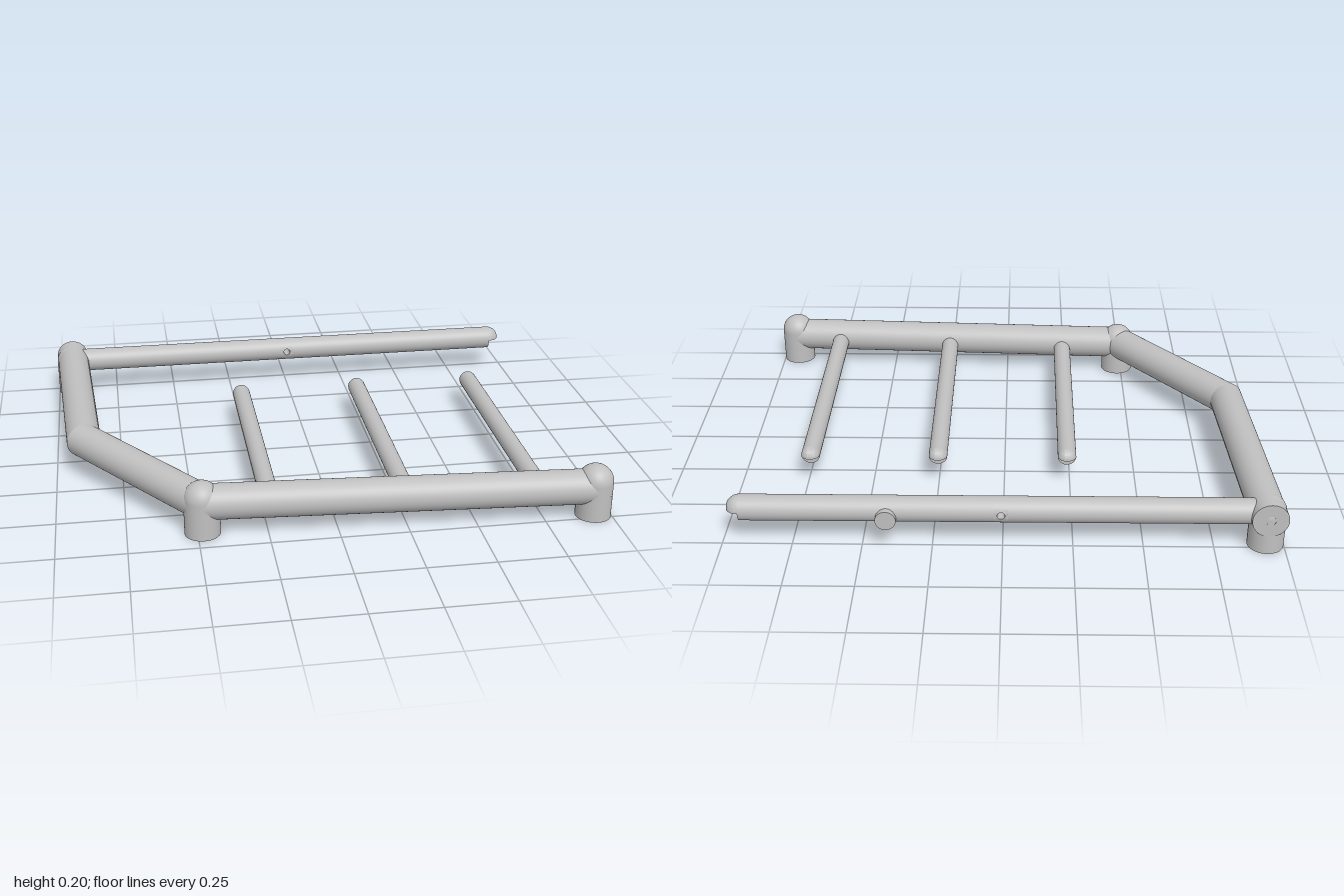
import * as THREE from 'three';
import { toCreasedNormals } from 'three/addons/utils/BufferGeometryUtils.js';

const metal = new THREE.MeshStandardMaterial({ color: 0xc0c0c0, side: THREE.DoubleSide });
metal.name = 'light grey metal';
const V = (x, y, z) => new THREE.Vector3(x, y, z);
const SEG = 48;

function part(parent, name, geometry, x = 0, y = 0, z = 0) {
  const m = new THREE.Mesh(geometry, metal);
  m.name = name;
  m.position.set(x, y, z);
  parent.add(m);
  return m;
}

// Pipe from a to b whose ends are trimmed to planes with normals na and nb
function pipeGeometry(a, b, r, na, nb) {
  const g = new THREE.CylinderGeometry(r, r, 1, SEG, 1, true);
  const d = b.clone().sub(a).normalize();
  const q = new THREE.Quaternion().setFromUnitVectors(V(0, 1, 0), d);
  const p = g.attributes.position, n = g.attributes.normal;
  for (let i = 0; i < p.count; i++) {
    const top = p.getY(i) > 0, plane = top ? nb : na;
    const v = V(p.getX(i), 0, p.getZ(i)).applyQuaternion(q);
    const t = -v.dot(plane) / d.dot(plane);
    v.add(top ? b : a).addScaledVector(d, t);
    p.setXYZ(i, v.x, v.y, v.z);
    const w = V(n.getX(i), n.getY(i), n.getZ(i)).applyQuaternion(q);
    n.setXYZ(i, w.x, w.y, w.z);
  }
  return g;
}

// Square piece of cylinder wall, centred on angle and hy, with a round bore
function borePatch(r, w, hy, hr, angle, floor, closed) {
  const N = 32, rows = [], pos = [], idx = [];
  if (closed) rows.push([0, 0, floor]);
  rows.push([hr, 0, floor]);
  for (const t of [0, 0.33, 0.67, 1]) rows.push([hr, t, null]);
  for (const [rad, t, depth] of rows) {
    for (let i = 0; i <= N; i++) {
      const a = i / N * Math.PI * 2, c = Math.cos(a), s = Math.sin(a);
      const k = THREE.MathUtils.lerp(rad, w / Math.max(Math.abs(c), Math.abs(s)), t);
      const th = k * c / r, side = r * Math.sin(th);
      const out = depth === null ? r * Math.cos(th) : depth;
      pos.push(out * Math.sin(angle) + side * Math.cos(angle), hy + k * s,
        out * Math.cos(angle) - side * Math.sin(angle));
    }
  }
  for (let j = 0; j < rows.length - 1; j++) {
    for (let i = 0; i < N; i++) {
      const a = j * (N + 1) + i, b = a + N + 1;
      idx.push(a, b, a + 1, b, b + 1, a + 1);
    }
  }
  const g = new THREE.BufferGeometry();
  g.setAttribute('position', new THREE.Float32BufferAttribute(pos, 3));
  g.setIndex(idx);
  return toCreasedNormals(g, 0.6);
}

// Cylinder wall along y, with optional bores at the given angles
function wall(parent, name, r, y0, y1, bore) {
  const tube = (a, b, start = 0, len = Math.PI * 2) => part(parent, name,
    new THREE.CylinderGeometry(r, r, b - a, SEG, 1, true, start, len), 0, (a + b) / 2, 0);
  if (!bore) {
    tube(y0, y1);
    return;
  }
  const { y, hr, w, angles, floor, closed } = bore, half = w / r;
  tube(y0, y - w);
  tube(y + w, y1);
  angles.forEach((a, i) => {
    const next = i + 1 < angles.length ? angles[i + 1] : angles[0] + Math.PI * 2;
    tube(y - w, y + w, a + half, next - a - 2 * half);
    part(parent, 'bore', borePatch(r, w, y, hr, a, floor, closed));
  });
}

// Upright foot with a domed top
function post(parent, x, z, r, h, bore) {
  const g = new THREE.Group();
  g.name = 'post';
  g.position.set(x, 0, z);
  wall(g, 'postWall', r, 0, h, bore);
  part(g, 'postDome', new THREE.SphereGeometry(r, SEG, 16, 0, Math.PI * 2, 0, Math.PI / 2), 0, h, 0);
  part(g, 'postBase', new THREE.CircleGeometry(r, SEG).rotateX(Math.PI / 2));
  parent.add(g);
}

// Rod whose upper half carries on as a rounded tip; hr is the end bore, 0 for none
function rod(parent, name, start, dir, length, r, hr, bore) {
  const g = new THREE.Group(), up = V(0, 1, 0);
  g.name = name;
  g.position.copy(start);
  g.quaternion.setFromRotationMatrix(
    new THREE.Matrix4().makeBasis(dir.clone().cross(up), dir, up));
  wall(g, name + 'Wall', r, 0, length, bore);
  part(g, 'endFace', new THREE.RingGeometry(hr, r, SEG).rotateX(-Math.PI / 2), 0, length, 0);
  if (hr > 0) {
    part(g, 'endBore', new THREE.CylinderGeometry(hr, hr, 0.06, 24, 1, true), 0, length - 0.03, 0);
    part(g, 'boreFloor', new THREE.CircleGeometry(hr, 24).rotateX(-Math.PI / 2), 0, length - 0.06, 0);
  }
  // rounded tip: half a turn of an arc with the bore left out
  const pts = [new THREE.Vector2(r, 0)], a1 = Math.acos(hr / r);
  for (let i = 1; i <= 12; i++) {
    const a = a1 * i / 12;
    pts.push(new THREE.Vector2(r * Math.cos(a), r * Math.sin(a)));
  }
  pts.push(new THREE.Vector2(hr, 0));
  part(g, 'roundedTip', toCreasedNormals(
    new THREE.LatheGeometry(pts, 24, -Math.PI / 2, Math.PI), 0.7), 0, length, 0);
  for (const s of [1, -1]) {
    const shape = new THREE.Shape(pts.map(p => new THREE.Vector2(s * p.x, p.y)));
    part(g, 'tipUnderside', new THREE.ShapeGeometry(shape).rotateY(Math.PI), 0, length, 0);
  }
  parent.add(g);
}

export function createModel() {
  const model = new THREE.Group();
  model.name = 'pipeFrame';
  const R = 0.065;

  // Posts
  post(model, 0.935, 0.722, R, 0.138,
    { y: 0.115, hr: 0.019, w: 0.023, angles: [Math.PI / 2], floor: 0.02, closed: true });
  post(model, -0.482, 0.64, R, 0.138);
  post(model, -0.935, -0.725, R, 0.138);

  // Main pipes, with a mitre at the bend
  const back = V(-0.935, 0.138, -0.79), bend = V(-0.89, 0.138, 0.1);
  const joint = V(-0.482, 0.123, 0.64), front = V(0.935, 0.116, 0.722);
  const d1 = bend.clone().sub(back).normalize();
  const d2 = joint.clone().sub(bend).normalize();
  const d3 = front.clone().sub(joint).normalize();
  const mitre = d1.clone().add(d2).normalize();
  part(model, 'sidePipe', pipeGeometry(back, bend, R, V(0, 0, 1), mitre));
  part(model, 'cornerPipe', pipeGeometry(bend, joint, R, mitre, d2));
  part(model, 'frontPipe', pipeGeometry(joint, front, R, d3, d3));

  // Flat bored end of the side pipe
  part(model, 'pipeEnd', new THREE.RingGeometry(0.018, R, SEG).rotateY(Math.PI), back.x, back.y, back.z);
  part(model, 'pipeBore', new THREE.CylinderGeometry(0.018, 0.018, 0.05, 24, 1, true)
    .rotateX(Math.PI / 2), back.x, back.y, back.z + 0.025);
  part(model, 'pipeBoreFloor', new THREE.CircleGeometry(0.018, 24).rotateY(Math.PI),
    back.x, back.y, back.z + 0.05);

  // Back bar with a cross bore and a short peg
  rod(model, 'backBar', V(-0.9, 0.139, -0.726), V(1, 0, 0), 1.831, 0.047, 0.018,
    { y: 0.905, hr: 0.014, w: 0.024, angles: [Math.PI / 2, Math.PI * 1.5], floor: 0, closed: false });
  part(model, 'peg', new THREE.CylinderGeometry(0.037, 0.037, 0.05, 32).rotateX(Math.PI / 2),
    0.41, 0.126, -0.765);

  // Rungs
  for (const x of [-0.238, 0.252, 0.737]) {
    const z = 0.64 + (x + 0.482) * 0.058;
    rod(model, 'rung', V(x, 0.11, z), V(0, 0, -1), z + 0.32, 0.035, 0);
  }
  return model;
}
